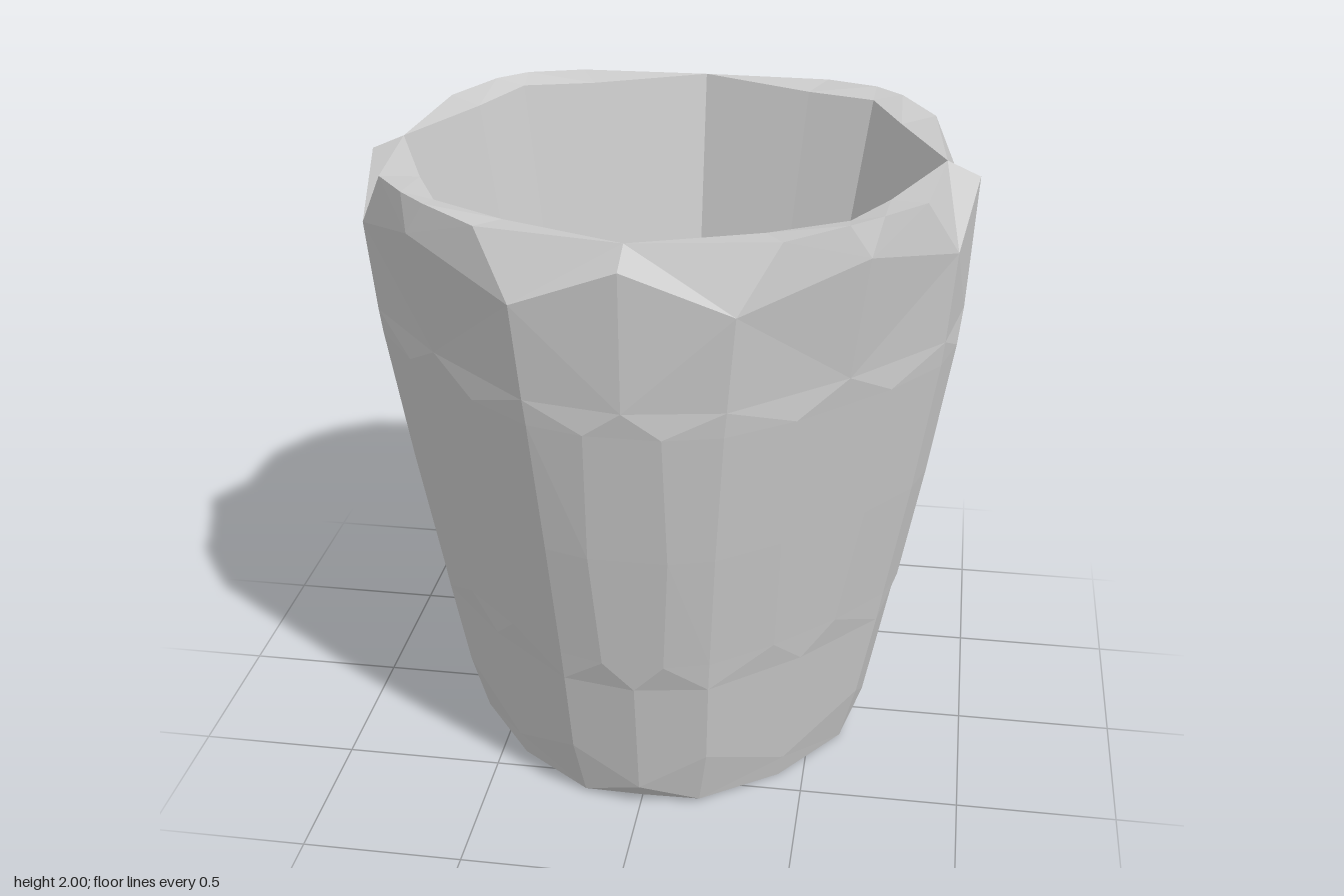
import * as THREE from 'three';

// Each row circles the cup: [y, radius, half-width angle] of the front ridge,
// [y, radius, angle] of the crease, [y, radius, half-width angle] of the diagonal ridge.
const OUTSIDE = [
  [[0.01, 0, 0], [0.01, 0, 18], [0.01, 0, 0]],          // centre of the base
  [[0.02, 0.62, 0], [0.01, 0.63, 17], [0, 0.595, 0]],   // base edge
  [[0.08, 0.665, 0], [0.21, 0.685, 18], [0.08, 0.615, 0]],
  [[0.5, 0.745, 0], [0.5, 0.74, 17.5], [0.5, 0.685, 0]],
  [[0.6, 0.762, 7], [0.6, 0.757, 17.5], [0.6, 0.7, 10]],
  [[1.0, 0.832, 8], [1.0, 0.83, 17.5], [1.0, 0.768, 12]],
  [[1.43, 0.9, 7], [1.43, 0.9, 18], [1.43, 0.838, 12]],
  [[1.51, 0.915, 0], [1.51, 0.91, 18.3], [1.52, 0.855, 0]],
  [[1.93, 0.937, 0], [1.8, 0.938, 19.3], [1.9, 0.92, 0]], // notched shoulder
  [[1.975, 0.835, 0], [1.985, 0.895, 28], [2.0, 0.895, 4]] // rim
];
const INSIDE = [
  [[1.975, 0.835, 0], [1.97, 0.775, 28], [1.98, 0.825, 0]], // mouth
  [[0.1, 0.465, 0], [0.1, 0.4316, 28], [0.1, 0.46, 0]],     // floor edge
  [[0.1, 0, 0], [0.1, 0, 28], [0.1, 0, 0]]                  // centre of the floor
];

function point(y, radius, degrees) {
  const a = THREE.MathUtils.degToRad(degrees);
  return new THREE.Vector3(Math.sin(a) * radius, y, Math.cos(a) * radius);
}

// Repeats one row's stations in all four quarters; split ridges become flat facets.
function makeRing([[y0, r0, w0], [yc, rc, ac], [yd, rd, wd]]) {
  const flat = (r, w) => r / Math.cos(THREE.MathUtils.degToRad(w));
  const ring = [];
  for (let q = 0; q < 360; q += 90) {
    ring.push(
      point(y0, flat(r0, w0), q - w0), point(y0, flat(r0, w0), q + w0),
      point(yc, rc, q + ac),
      point(yd, flat(rd, wd), q + 45 - wd), point(yd, flat(rd, wd), q + 45 + wd),
      point(yc, rc, q + 90 - ac)
    );
  }
  return ring;
}

// Joins neighbouring rings, cutting each quad along its shorter diagonal.
function makeSkin(rows) {
  const rings = rows.map(makeRing);
  const positions = [];
  const triangle = (a, b, c) => {
    if (new THREE.Triangle(a, b, c).getArea() < 1e-7) return;
    for (const p of [a, b, c]) positions.push(p.x, p.y, p.z);
  };
  for (let i = 0; i < rings.length - 1; i++) {
    const low = rings[i], high = rings[i + 1], n = low.length;
    for (let j = 0; j < n; j++) {
      const k = (j + 1) % n;
      const a = low[j], b = low[k], c = high[k], d = high[j];
      if (a.distanceTo(c) < b.distanceTo(d)) {
        triangle(a, b, c);
        triangle(a, c, d);
      } else {
        triangle(a, b, d);
        triangle(b, c, d);
      }
    }
  }
  const geometry = new THREE.BufferGeometry();
  geometry.setAttribute('position', new THREE.Float32BufferAttribute(positions, 3));
  geometry.computeVertexNormals();
  return geometry;
}

export function createModel() {
  const group = new THREE.Group();
  group.name = 'cup';
  const material = new THREE.MeshStandardMaterial({ color: 0xcccccc, flatShading: true });
  const add = (name, rows) => {
    const mesh = new THREE.Mesh(makeSkin(rows), material);
    mesh.name = name;
    group.add(mesh);
  };
  add('outerWall', OUTSIDE);
  add('rim', [OUTSIDE[OUTSIDE.length - 1], INSIDE[0]]);
  add('innerWall', INSIDE);
  return group;
}
